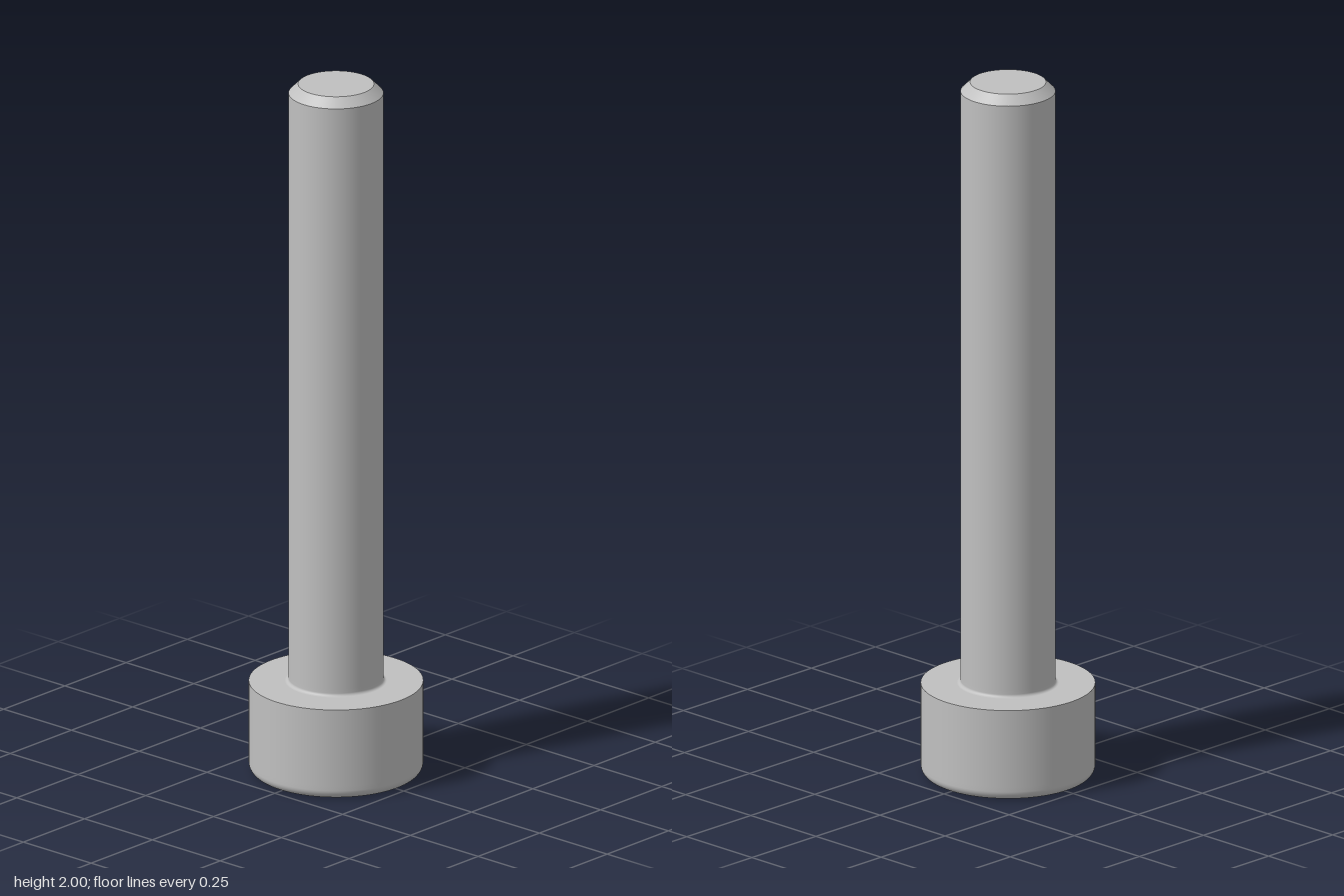
import * as THREE from 'three';

const SHAFT_R = 0.13, HEAD_R = 0.239, HEAD_H = 0.262;
const TIP_R = 0.104, CHAMFER = 0.026;
const HEX_R = 0.1255, HEX_DEPTH = 0.113;
const SEGMENTS = 96;

// Quarter-circle profile points from angle a to b
function arc(cx, cy, r, a, b, steps = 8) {
  return Array.from({ length: steps + 1 }, (_, i) => {
    const t = a + ((b - a) * i) / steps;
    return [cx + r * Math.cos(t), cy + r * Math.sin(t)];
  });
}

export function createModel() {
  const group = new THREE.Group();
  const steel = new THREE.MeshStandardMaterial({ color: 0xc0c0c0 });
  steel.name = 'steel';

  const add = (name, geometry) => {
    const mesh = new THREE.Mesh(geometry, steel);
    mesh.name = name;
    group.add(mesh);
  };
  // Each turned surface is its own lathe, so edges between them stay sharp
  const turn = (name, points) =>
    add(name, new THREE.LatheGeometry(points.map(([x, y]) => new THREE.Vector2(x, y)), SEGMENTS));

  // Head side with rounded lower rim
  const rim = 0.026;
  turn('headSide', [...arc(HEAD_R - rim, rim, rim, -Math.PI / 2, 0), [HEAD_R, 0.04], [HEAD_R, HEAD_H]]);

  // Flat shoulder and small fillet running into the shaft
  const fillet = 0.009;
  turn('headShoulder', [[HEAD_R, HEAD_H], [SHAFT_R + fillet, HEAD_H]]);
  turn('shaft', [
    ...arc(SHAFT_R + fillet, HEAD_H + fillet, fillet, Math.PI * 1.5, Math.PI, 6),
    [SHAFT_R, HEAD_H + 0.02],
    [SHAFT_R, 2 - CHAMFER],
  ]);

  // Chamfered tip
  turn('tipChamfer', [[SHAFT_R, 2 - CHAMFER], [TIP_R, 2]]);
  turn('tipFace', [[TIP_R, 2], [0, 2]]);

  // Underside of the head with hexagonal opening
  const face = new THREE.Shape().absarc(0, 0, HEAD_R - rim, 0, Math.PI * 2);
  const corners = Array.from({ length: 6 }, (_, i) => {
    const a = (i * Math.PI) / 3;
    return new THREE.Vector2(HEX_R * Math.sin(a), HEX_R * Math.cos(a));
  });
  face.holes.push(new THREE.Path(corners));
  add('headUnderside', new THREE.ShapeGeometry(face, SEGMENTS).rotateX(Math.PI / 2));

  // Hexagonal socket: walls mirrored so they face inward, and a floor facing down
  const walls = new THREE.CylinderGeometry(HEX_R, HEX_R, HEX_DEPTH, 6, 1, true);
  const index = walls.index.array;
  for (let i = 0; i < index.length; i += 3) [index[i], index[i + 1]] = [index[i + 1], index[i]];
  const flatWalls = walls.toNonIndexed().translate(0, HEX_DEPTH / 2, 0);
  flatWalls.computeVertexNormals();
  add('socketWalls', flatWalls);
  add('socketFloor', new THREE.CircleGeometry(HEX_R, 6, Math.PI / 2)
    .rotateX(Math.PI / 2).translate(0, HEX_DEPTH, 0));

  return group;
}
